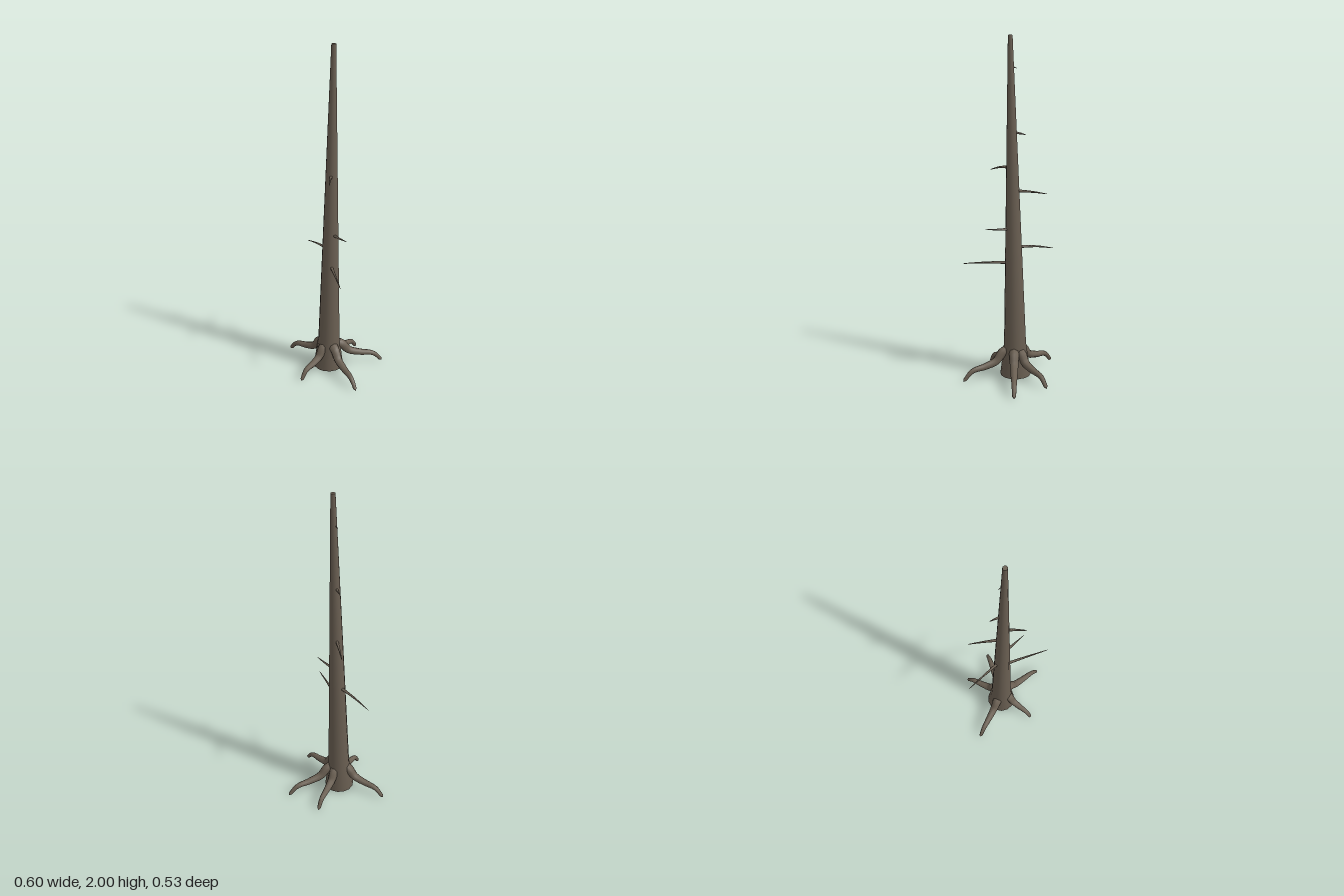
import * as THREE from 'three';

const bark = new THREE.MeshStandardMaterial({ color: 0x6b6053 });

// Slight lean of the trunk axis
const axisX = (y) => -0.005 + 0.0175 * y;
const axisZ = (y) => -0.007 + 0.0075 * y;
const trunkRadius = (y) =>
  y < 0.2 ? THREE.MathUtils.lerp(0.093, 0.066, y / 0.2) : THREE.MathUtils.lerp(0.066, 0.013, (y - 0.2) / 1.8);

// Tube along points whose radius follows radiusAt(u); both ends close to a point
function taperedTube(points, segments, sides, radiusAt) {
  const curve = new THREE.CatmullRomCurve3(points);
  const geo = new THREE.TubeGeometry(curve, segments, 1, sides, false);
  const pos = geo.attributes.position;
  const v = new THREE.Vector3();
  for (let i = 0; i < pos.count; i++) {
    const ring = Math.floor(i / (sides + 1));
    const u = ring / segments;
    const centre = curve.getPointAt(u);
    const r = ring === 0 || ring === segments ? 0 : radiusAt(u);
    v.fromBufferAttribute(pos, i).sub(centre).multiplyScalar(r).add(centre);
    pos.setXYZ(i, v.x, v.y, v.z);
  }
  return geo;
}

export function createModel() {
  const group = new THREE.Group();
  const add = (name, geo) => {
    const mesh = new THREE.Mesh(geo, bark);
    mesh.name = name;
    group.add(mesh);
  };

  // Trunk: tall tapering pole that flares at the foot
  const trunk = new THREE.CylinderGeometry(1, 1, 1.99, 14, 20);
  trunk.translate(0, 1.005, 0);
  const p = trunk.attributes.position;
  for (let i = 0; i < p.count; i++) {
    const y = p.getY(i);
    const r = trunkRadius(y);
    p.setXYZ(i, p.getX(i) * r + axisX(y), y, p.getZ(i) * r + axisZ(y));
  }
  add('trunk', trunk);

  // Roots: arch out of the trunk, run low, then dip to the ground
  const rootTips = [[0.3, -0.163], [0.093, -0.265], [-0.3, -0.1], [-0.1, 0.22], [0.242, 0.208]];
  const rootProfile = [[0.13, 0.168], [0.24, 0.152], [0.36, 0.105], [0.58, 0.08], [0.83, 0.062], [1, 0.005]];
  rootTips.forEach(([x, z], i) => {
    const points = rootProfile.map(([f, y]) => new THREE.Vector3(x * f, y, z * f));
    add('root' + (i + 1), taperedTube(points, 24, 8, (u) => 0.031 - 0.021 * u));
  });

  // Branches: start height, then tip position and upward bow
  const branches = [
    [0.705, 0.162, 0.70, 0.266, 0.004],
    [0.80, -0.2, 0.765, -0.17, 0.008],
    [0.907, 0.147, 0.92, 0.108, -0.003],
    [1.132, -0.045, 1.12, -0.192, 0.004],
    [1.268, 0.047, 1.25, 0.133, 0.008],
    [1.465, -0.02, 1.452, -0.066, 0.003],
    [1.83, 0.0, 1.82, -0.02, 0.001],
  ];
  branches.forEach(([y0, x, y, z, bow], i) => {
    const start = new THREE.Vector3(axisX(y0), y0, axisZ(y0));
    const tip = new THREE.Vector3(x, y, z);
    const mid = start.clone().lerp(tip, 0.55);
    mid.y += bow;
    const base = i === 6 ? 0.005 : 0.0105;
    add('branch' + (i + 1), taperedTube([start, mid, tip], 12, 6, (u) => base * (1 - 0.85 * u)));
  });

  return group;
}
